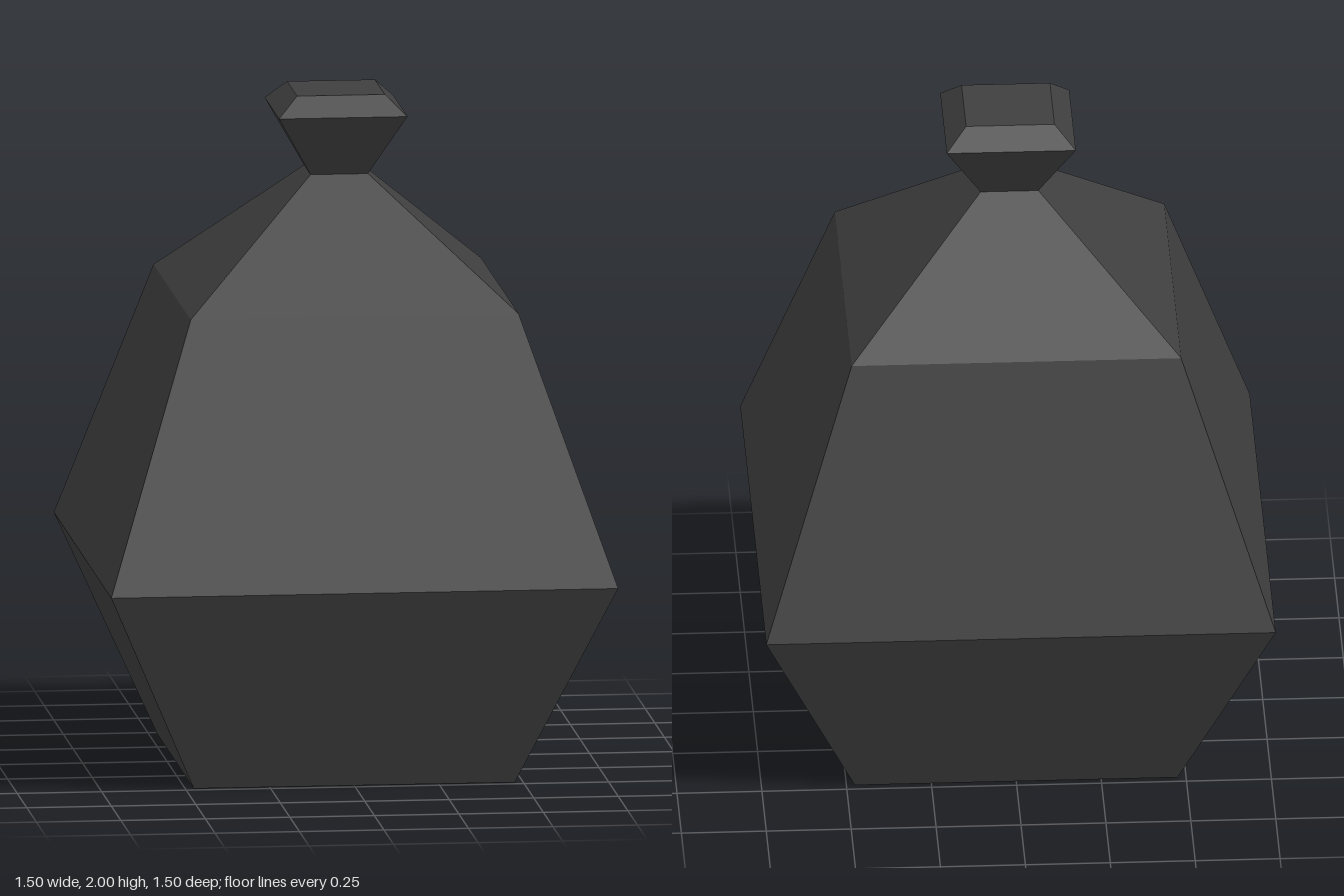
import * as THREE from 'three';

// Square-section solid from [half width, height] pairs, listed bottom to top
function squareSolid(name, profile, material) {
  const points = profile.map(([w, y]) => new THREE.Vector2(w * Math.SQRT2, y));
  const geometry = new THREE.LatheGeometry(points, 4, Math.PI / 4).toNonIndexed();
  geometry.computeVertexNormals(); // faceted sides
  const mesh = new THREE.Mesh(geometry, material);
  mesh.name = name;
  return mesh;
}

export function createModel() {
  const group = new THREE.Group();
  group.name = 'sack';

  const charcoal = new THREE.MeshStandardMaterial({ color: 0x3f3f3f });
  charcoal.name = 'charcoal';

  // Bulging bag with closed base, narrowing to the neck
  group.add(squareSolid('bagBody', [
    [0, 0], [0.475, 0], [0.75, 0.62], [0.485, 1.4], [0.085, 1.757],
  ], charcoal));

  // Flared, bevelled top above the neck
  group.add(squareSolid('gatheredTop', [
    [0.085, 1.757], [0.19, 1.943], [0.13, 2], [0, 2],
  ], charcoal));

  return group;
}
